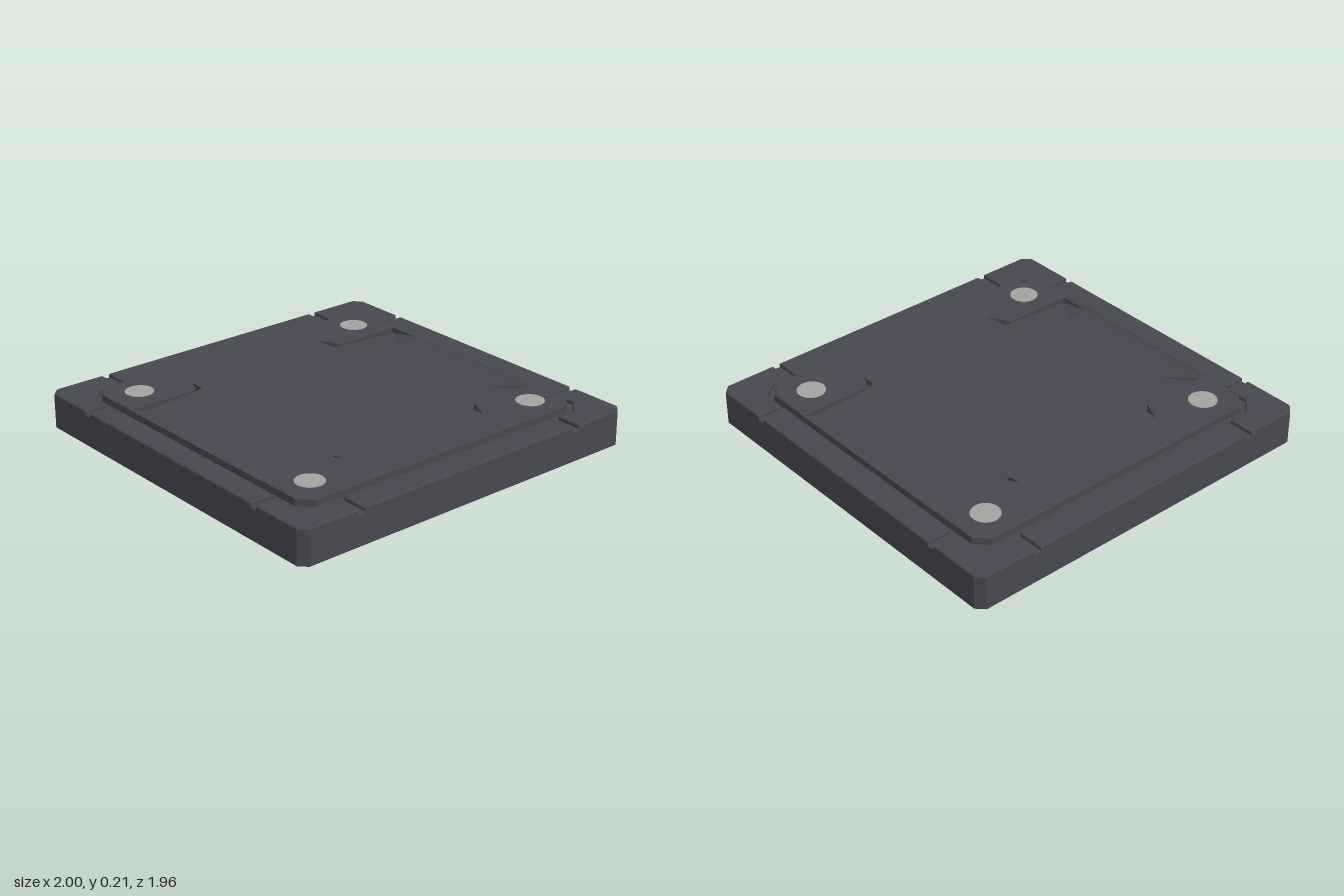
import * as THREE from 'three';

const dark = new THREE.MeshStandardMaterial({ color: 0x474750 });
dark.name = 'dark slate';
const pale = new THREE.MeshStandardMaterial({ color: 0xa2a2a0 });
pale.name = 'pale grey';

// Extrude a plan outline of [x, z] points from y0 up to y1, keeping the outline as outer size
function slab(name, pts, y0, y1, bevel = 0) {
  const shape = new THREE.Shape(pts.map(([x, z]) => new THREE.Vector2(x, -z)));
  const geo = new THREE.ExtrudeGeometry(shape, {
    depth: y1 - y0 - 2 * bevel,
    bevelEnabled: bevel > 0,
    bevelThickness: bevel,
    bevelSize: bevel,
    bevelOffset: -bevel,
    bevelSegments: 3,
  });
  geo.rotateX(-Math.PI / 2);
  geo.translate(0, y0 + bevel, 0);
  const mesh = new THREE.Mesh(geo, dark);
  mesh.name = name;
  return mesh;
}

const rect = (x0, x1, z0, z1) => [[x0, z0], [x1, z0], [x1, z1], [x0, z1]];

// Rectangle with cut corners
function cutRect(x, z, c) {
  return [[x - c, -z], [x, -z + c], [x, z - c], [x - c, z],
    [-x + c, z], [-x, z - c], [-x, -z + c], [-x + c, -z]];
}

// Side floor falling away from the centre panel, then ramping up to the rail, lofted along z
function sideFloor() {
  const sections = [[-0.51, 0.83], [-0.34, 0.72], [0.34, 0.72], [0.51, 0.83]].map(([z, foot]) =>
    [[0.42, 0.196], [0.46, 0.184], [foot, 0.168], [0.84, 0.2]].map(([x, y]) => [x, y, z]));
  const pos = [];
  for (let i = 0; i < 3; i++) {
    for (let j = 0; j < 3; j++) {
      const a = sections[i][j], b = sections[i + 1][j];
      const c = sections[i + 1][j + 1], d = sections[i][j + 1];
      pos.push(...a, ...b, ...c, ...a, ...c, ...d);
    }
  }
  const geo = new THREE.BufferGeometry();
  geo.setAttribute('position', new THREE.Float32BufferAttribute(pos, 3));
  geo.computeVertexNormals();
  const mesh = new THREE.Mesh(geo, dark);
  mesh.name = 'sideFloor';
  return mesh;
}

export function createModel() {
  const model = new THREE.Group();
  model.name = 'floorPad';

  // Base body
  model.add(slab('base', cutRect(1, 0.98, 0.04), 0, 0.165, 0.006));

  // Raised rim: corner blocks and bars separated by notches
  const corner = [[0.69, 0.98], [0.96, 0.98], [1, 0.94], [1, 0.665],
    [0.873, 0.665], [0.873, 0.765], [0.795, 0.843], [0.69, 0.843]];
  for (const sx of [1, -1]) {
    for (const sz of [1, -1]) {
      model.add(slab('rimCorner', corner.map(([x, z]) => [x * sx, z * sz]), 0.1, 0.185, 0.008));
    }
  }
  for (const s of [1, -1]) {
    model.add(slab('rimBarEnd', rect(-0.65, 0.65, 0.843, 0.98).map(([x, z]) => [x, z * s]), 0.1, 0.185, 0.008));
    model.add(slab('rimBarSide', rect(0.873, 1, -0.625, 0.625).map(([x, z]) => [x * s, z]), 0.1, 0.185, 0.008));
  }

  // Raised end plates with a notch for the centre panel
  const endPlate = [[-0.85, 0.505], [-0.46, 0.505], [-0.41, 0.61], [0.41, 0.61], [0.46, 0.505],
    [0.85, 0.505], [0.85, 0.745], [0.785, 0.81], [-0.785, 0.81], [-0.85, 0.745]];
  for (const s of [1, -1]) {
    model.add(slab('endPlate', endPlate.map(([x, z]) => [x, z * s]), 0.14, 0.205, 0.006));
    model.add(slab('sideRail', rect(0.835, 0.85, -0.51, 0.51).map(([x, z]) => [x * s, z]), 0.14, 0.2));
    const floor = sideFloor();
    if (s < 0) floor.rotation.y = Math.PI;
    model.add(floor);
  }

  // Centre panel, just below the end plates
  model.add(slab('centrePanel', rect(-0.42, 0.42, -0.62, 0.62), 0.14, 0.196));

  // Pale discs on the end plates
  const discGeo = new THREE.CylinderGeometry(0.072, 0.072, 0.006, 32);
  for (const sx of [1, -1]) {
    for (const sz of [1, -1]) {
      const disc = new THREE.Mesh(discGeo, pale);
      disc.name = 'disc';
      disc.position.set(0.69 * sx, 0.204, 0.655 * sz);
      model.add(disc);
    }
  }
  return model;
}
